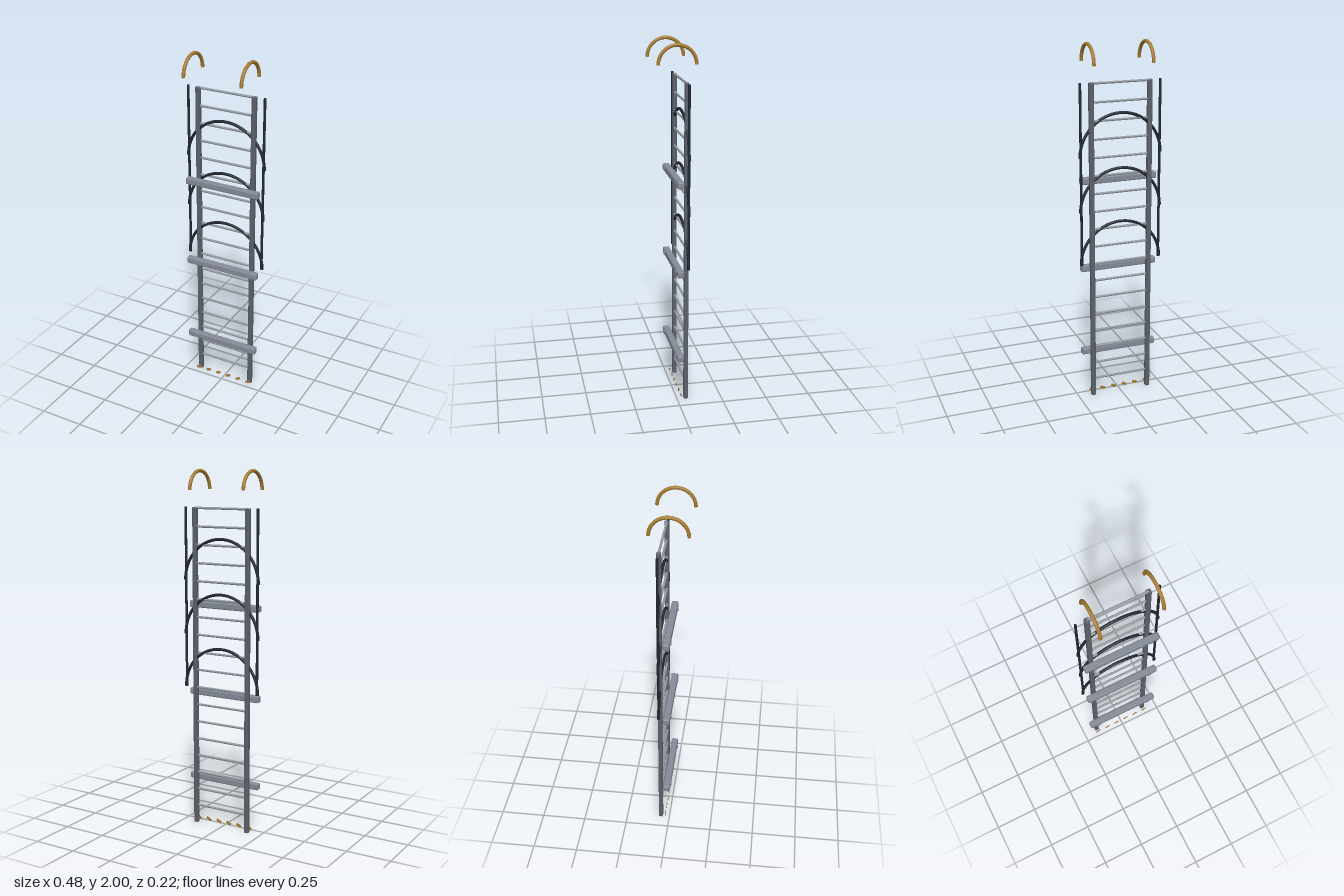
import * as THREE from 'three';
import { RoundedBoxGeometry } from 'three/addons/geometries/RoundedBoxGeometry.js';

const material = (color) => new THREE.MeshStandardMaterial({ color });
const STEEL = material(0x5a606b);
const RUNG = material(0x9499a1);
const CLAMP = material(0x848b98);
const DARK = material(0x22262f);
const BRASS = material(0xa67c32);

const RAIL_X = 0.165, RAIL_Z = -0.05;

export function createModel() {
  const model = new THREE.Group();

  function add(name, geometry, mat, x, y, z, parent = model) {
    const mesh = new THREE.Mesh(geometry, mat);
    mesh.name = name;
    mesh.position.set(x, y, z);
    parent.add(mesh);
    return mesh;
  }

  // Half-ring rod with closed ends
  function arch(name, radius, tube, mat) {
    const group = new THREE.Group();
    group.name = name;
    add(name + 'Rod', new THREE.TorusGeometry(radius, tube, 12, 40, Math.PI), mat, 0, 0, 0, group);
    for (const s of [-1, 1]) {
      const cap = add(name + 'End', new THREE.CircleGeometry(tube, 12), mat, s * radius, 0, 0, group);
      cap.rotation.x = Math.PI / 2;
    }
    model.add(group);
    return group;
  }

  for (const s of [-1, 1]) {
    // Side rails
    add('sideRail', new RoundedBoxGeometry(0.026, 1.795, 0.024, 2, 0.005), STEEL, s * RAIL_X, 0.9005, RAIL_Z);
    // Guard bars outside the rails
    add('guardBar', new THREE.CylinderGeometry(0.007, 0.007, 1, 12), DARK, s * 0.225, 1.298, RAIL_Z);
    // Top hooks, curving front to back
    const hook = arch('topHook', 0.1, 0.0095, BRASS);
    hook.rotation.y = Math.PI / 2;
    hook.position.set(s * RAIL_X, 1.8905, 0);
  }

  // Rungs
  const rungGeometry = new THREE.CylinderGeometry(0.0065, 0.0065, 2 * RAIL_X, 12);
  for (let i = 0; i < 18; i++) {
    add('rung', rungGeometry, RUNG, 0, 0.107 + i * 0.0992, RAIL_Z).rotation.z = Math.PI / 2;
  }

  // Safety hoops
  for (const y of [0.8, 1.1, 1.4]) {
    arch('safetyHoop', 0.23, 0.008, DARK).position.set(0, y, RAIL_Z);
  }

  // Cross clamps with a bolt at each rail
  const boltGeometry = new THREE.CylinderGeometry(0.012, 0.012, 0.042, 12);
  for (const y of [0.27, 0.768, 1.265]) {
    add('crossClamp', new RoundedBoxGeometry(0.44, 0.038, 0.038, 1, 0.008), CLAMP, 0, y, -0.011);
    for (const s of [-1, 1]) {
      add('clampBolt', boltGeometry, CLAMP, s * RAIL_X, y, -0.009).rotation.x = Math.PI / 2;
    }
  }

  // Slanted warning tabs along the foot
  const tabGeometry = new THREE.BoxGeometry(0.03, 0.015, 0.003);
  for (let i = 0; i < 6; i++) {
    add('warningTab', tabGeometry, BRASS, -RAIL_X + i * 0.066, 0.023, -0.024).rotation.z = 0.45;
  }

  return model;
}
